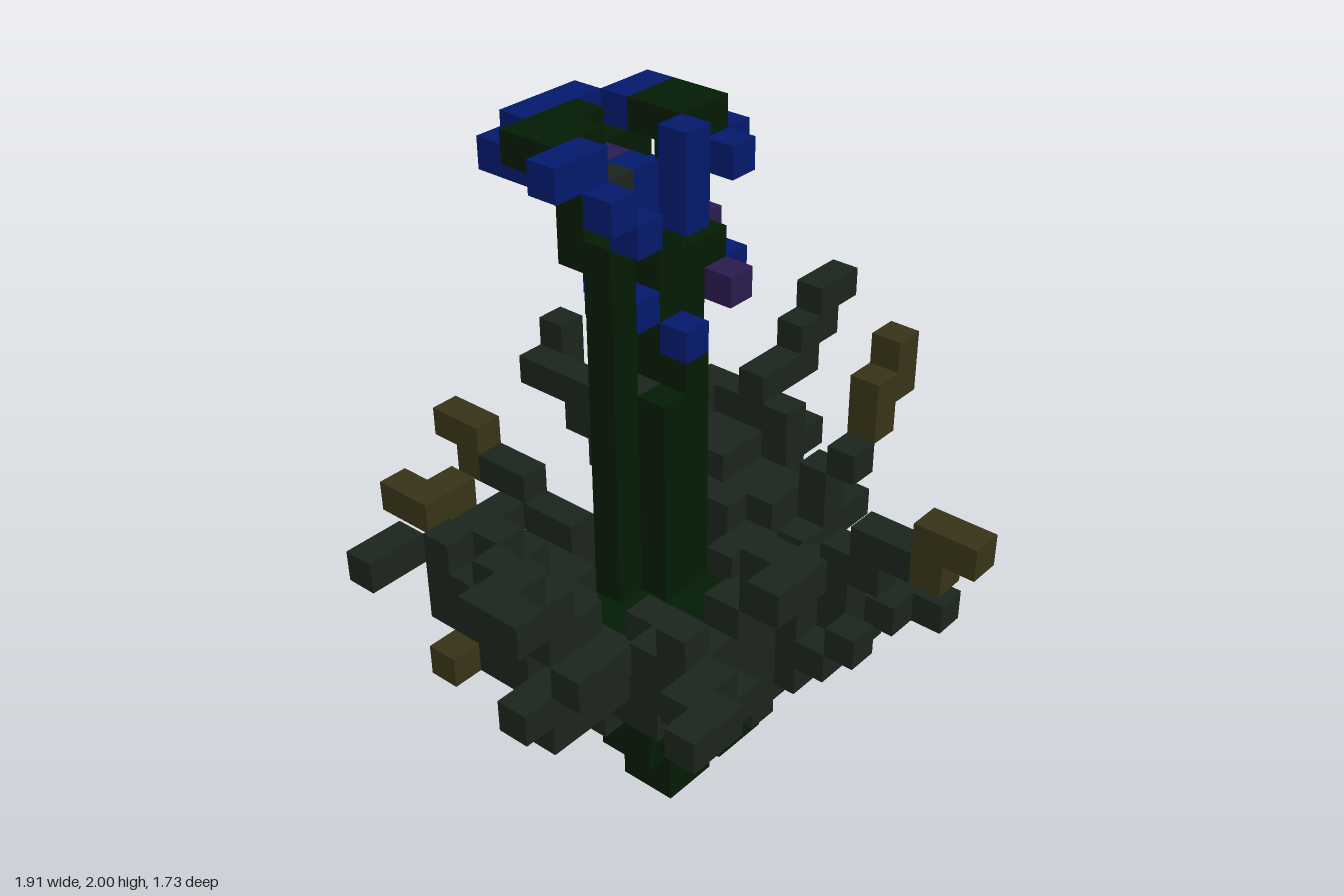
import * as THREE from 'three';
import { mergeGeometries } from 'three/addons/utils/BufferGeometryUtils.js';

const S = 2 / 22; // edge of one cube

// Grid cells along a stepped path through the given points
function trace(path) {
  const points = path.map((p) => new THREE.Vector3(...p));
  const cells = [points[0]];
  for (let i = 1; i < points.length; i++) {
    const d = points[i].clone().sub(points[i - 1]);
    const steps = Math.abs(d.x) + Math.abs(d.y) + Math.abs(d.z);
    for (let s = 1; s <= steps; s++) {
      cells.push(points[i - 1].clone().addScaledVector(d, s / steps).round());
    }
  }
  return cells;
}

export function createModel() {
  const model = new THREE.Group();
  model.name = 'floweringPlant';
  const mat = (name, color) => {
    const m = new THREE.MeshStandardMaterial({ color });
    m.name = name;
    return m;
  };
  const green = mat('dark stem green', 0x031b04);
  const leaf = mat('grey leaf green', 0x1b251c);
  const brown = mat('withered brown', 0x373318);
  const blue = mat('petal blue', 0x04196b);
  const purple = mat('bud purple', 0x2a1b4e);

  // Builds one part from cubes; a cell taken by an earlier part stays as it is
  const used = new Set();
  function part(name, material, cells) {
    const cubes = [];
    for (const { x, y, z } of cells) {
      const key = `${x},${y},${z}`;
      if (used.has(key)) continue;
      used.add(key);
      cubes.push(new THREE.BoxGeometry(S, S, S).translate(x * S, (y + 0.5) * S, z * S));
    }
    const mesh = new THREE.Mesh(mergeGeometries(cubes), material);
    mesh.name = name;
    model.add(mesh);
  }

  // Tapering root crown, and the ragged leafy bowl that rises with the radius
  const crown = [];
  const bowl = [];
  for (let x = -6; x <= 6; x++) for (let z = -4; z <= 4; z++) {
    const r = Math.hypot(x + 0.3, z + 0.4);
    for (let y = 0; y <= 6; y++) {
      const reach = y < 2 ? 0.95 : y < 5 ? 0.76 * y + 0.3 : 3.3;
      if (r <= reach) crown.push({ x, y, z });
    }
    const openHeart = x >= (z === 2 ? -1 : -2) && x <= 1 && z >= 0 && z <= 2;
    const beyondRim = Math.abs(x) > (z < 0 ? 6 : 5) || (z > 0 && x > 3);
    const frontGap = z > 2 && (x === -1 || x > 2);
    if (openHeart || beyondRim || frontGap) continue;
    const rise = 1.4 + 0.95 * r;
    const base = Math.round(rise + 0.6 * (Math.abs(x * 5 + z * 3) % 2));
    const limit = z === 0 ? 8 : z === 1 ? 9 : 10;
    const top = Math.min(limit, Math.round(rise) + 2 + (Math.abs(x * 7 + z * 13) % 3 > 1 ? 1 : 0));
    for (let y = base; y <= top; y++) bowl.push({ x, y, z });
  }
  part('crown', green, crown);

  // Two flower stalks with their branching tops
  part('stalks', green, [
    [[-1, 6, -2], [-1, 18, -2], [-1, 18, -3], [-1, 21, -3], [-2, 21, -3], [-2, 21, -4], [0, 21, -4]],
    [[0, 6, -1], [0, 13, -1]],
    [[1, 6, -1], [1, 14, -1], [1, 14, -2], [1, 18, -2], [1, 18, -3]],
    [[1, 18, -2], [2, 19, -2], [2, 21, -2], [3, 21, -2], [3, 21, -3], [2, 21, -3]],
    [[2, 15, -2], [2, 17, -2], [3, 17, -2]],
    [[0, 20, -4], [2, 20, -4]],
  ].flatMap(trace));

  part('petals', blue, [
    [[1, 15, -1]], [[0, 16, -2], [0, 16, -3]], [[2, 19, -3]],
    [[4, 16, -2], [4, 16, -3]],
    [[1, 16, -4], [1, 17, -4]],
    [[1, 19, -1], [1, 21, -1]],
    [[0, 19, -2], [0, 20, -2]],
    [[-1, 19, -1]], [[-2, 20, -1]],
    [[-3, 21, -2], [-2, 21, -2]],
    [[3, 20, -1]], [[4, 20, -2], [4, 20, -3]],
    [[2, 21, -4], [3, 21, -4]],
    [[-1, 20, -6], [-1, 20, -5], [-1, 21, -5], [1, 21, -5]],
  ].flatMap(trace));
  part('buds', purple, [[[3, 16, -1]], [[4, 17, -3]], [[0, 20, -3]]].flatMap(trace));
  part('flowerLeaf', leaf, trace([[-1, 20, -2]]));

  part('witheredTips', brown, [
    [[1, 11, 8], [1, 12, 8], [1, 12, 9]],
    [[5, 12, 3], [5, 13, 3], [6, 13, 3], [6, 14, 3]],
    [[-1, 9, -8], [-1, 10, -8], [-1, 10, -9]],
    [[-5, 10, -7], [-5, 10, -6], [-4, 10, -6]],
    [[-7, 7, -3]],
    [[3, 7, 3], [3, 7, 4], [4, 7, 4]],
    [[6, 6, 0], [7, 6, 0]],
  ].flatMap(trace));

  // Arching fronds on the left and right
  part('sideFronds', leaf, [
    [[-7, 9, 2], [-7, 11, 2], [-8, 11, 2], [-8, 12, 2], [-9, 12, 2], [-10, 13, 2], [-10, 13, 3]],
    [[-6, 8, 2], [-8, 8, 2], [-9, 9, 2]],
    [[-8, 10, 3], [-7, 10, 3]],
    [[6, 10, -2], [6, 11, -2], [8, 11, -2], [8, 12, -2], [9, 12, -2], [9, 13, -2], [10, 13, -2]],
    [[7, 9, -3], [7, 9, -1]],
    [[6, 7, 0], [7, 7, 0], [7, 7, 1], [6, 7, 1]],
    [[-6, 7, 1], [-7, 7, 1]],
    [[-6, 6, 0], [-5, 6, 0]],
    [[4, 6, 0], [5, 6, 0]],
  ].flatMap(trace));

  // Arching fronds at the back
  part('backFronds', leaf, [
    [[2, 10, -5], [2, 10, -6], [2, 11, -6], [2, 11, -8], [3, 11, -8], [3, 12, -8]],
    [[2, 9, -5], [4, 9, -5]],
    [[1, 11, -4], [4, 11, -4]],
    [[2, 11, -5], [3, 11, -5]],
    [[3, 10, -5], [4, 10, -5], [4, 10, -6], [5, 10, -6], [5, 10, -7]],
    [[5, 8, -4], [6, 8, -4], [6, 9, -4], [6, 9, -5], [7, 9, -5]],
    [[-6, 10, -4], [-7, 10, -5], [-8, 10, -5]],
    [[-5, 9, -5], [-3, 9, -5]],
    [[-1, 7, -5], [-1, 8, -6], [-1, 9, -7]],
  ].flatMap(trace));

  // Arching fronds at the front
  part('frontFronds', leaf, [
    [[-3, 8, 4], [-3, 10, 4], [-3, 11, 5], [-4, 11, 5], [-4, 12, 6], [-4, 13, 6], [-4, 13, 7], [-5, 13, 7]],
    [[0, 7, 5], [0, 8, 6]],
    [[1, 7, 5], [1, 10, 5], [1, 10, 6], [1, 11, 6], [1, 11, 7]],
    [[2, 7, 5], [2, 8, 6], [3, 8, 6], [3, 8, 7]],
    [[4, 8, 2], [4, 10, 2], [4, 11, 3]],
    [[-4, 8, 4], [-4, 8, 5], [-6, 9, 5], [-6, 9, 6], [-7, 9, 6]],
  ].flatMap(trace));

  part('leafBowl', leaf, bowl);
  return model;
}
